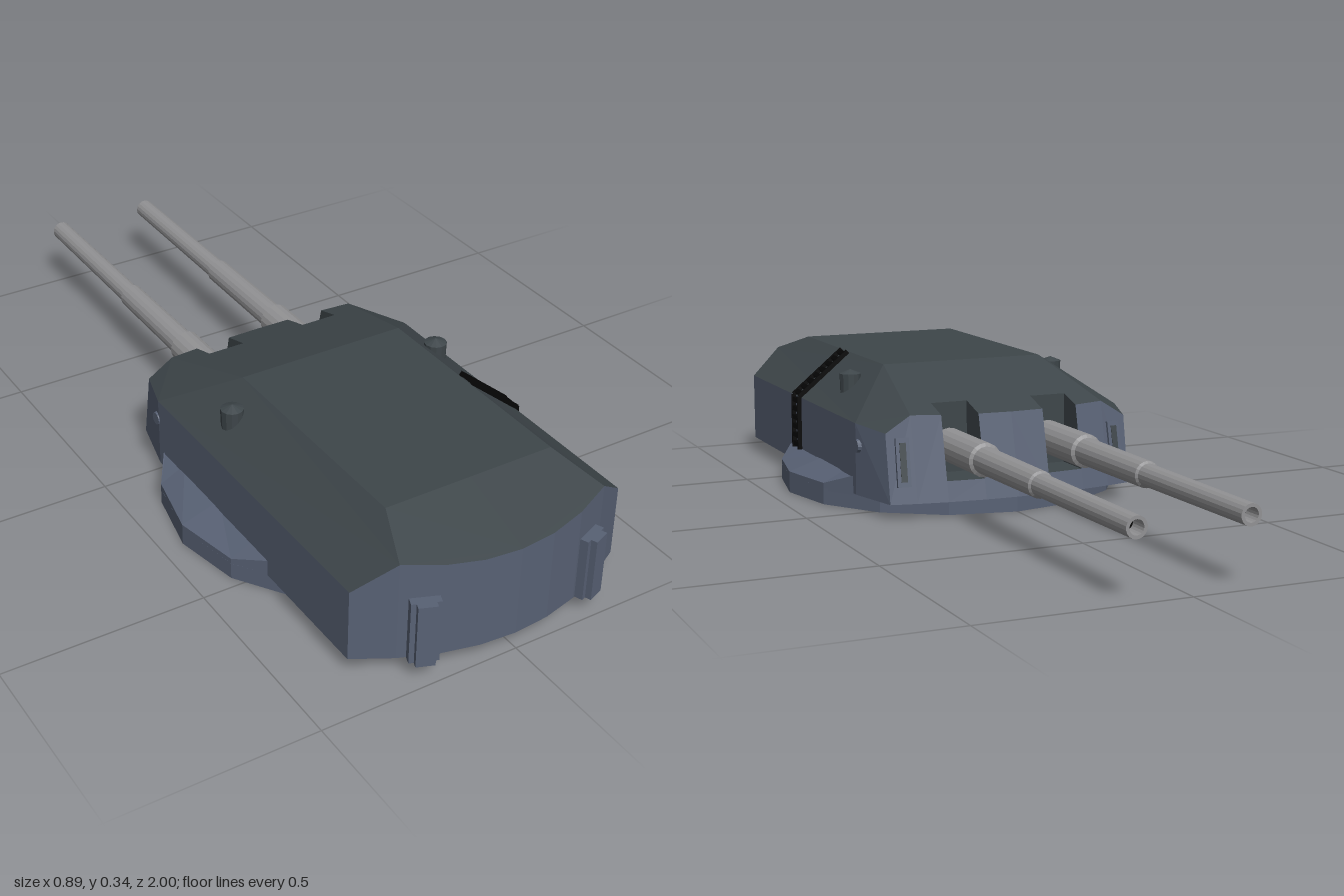
import * as THREE from 'three';

const paint = (name, color) => new THREE.MeshStandardMaterial({ name, color, flatShading: true });

// Mesh from flat polygons, each turned away from (or towards) a centre, then mirrored in x
function shell(name, material, polys, centre = [0, 0.15, 0.4], inward = false) {
  const pos = [];
  const c = new THREE.Vector3(...centre);
  for (const poly of polys) {
    let p = poly.map(a => new THREE.Vector3(...a));
    const n = new THREE.Vector3(), mid = new THREE.Vector3();
    p.forEach((v, i) => {
      n.add(new THREE.Vector3().crossVectors(v, p[(i + 1) % p.length]));
      mid.addScaledVector(v, 1 / p.length);
    });
    if ((n.dot(mid.sub(c)) < 0) !== inward) p.reverse();
    for (let i = 1; i < p.length - 1; i++) {
      const t = [p[0], p[i], p[i + 1]];
      for (const v of t) pos.push(v.x, v.y, v.z);
      for (const v of [t[0], t[2], t[1]]) pos.push(-v.x, v.y, v.z);
    }
  }
  const g = new THREE.BufferGeometry();
  g.setAttribute('position', new THREE.Float32BufferAttribute(pos, 3));
  g.computeVertexNormals();
  const m = new THREE.Mesh(g, material);
  m.name = name;
  return m;
}

export function createModel() {
  const root = new THREE.Group();
  root.name = 'gunTurret';
  const slate = paint('slate wall', 0x586174);
  const roof = paint('dark roof', 0x3e464a);
  const steel = paint('gun steel', 0x929294);
  const black = paint('black', 0x050505);

  const add = (name, geo, mat, x, y, z, parent = root) => {
    const m = new THREE.Mesh(geo, mat);
    m.name = name;
    m.position.set(x, y, z);
    parent.add(m);
    return m;
  };

  // Hull outline rules
  const Y0 = 0.04, YS = 0.22, YT = 0.335, W = 0.36, R = 0.22;
  const rearZ = x => 0.995 - 0.115 * (x / W) ** 2;
  const rearTop = x => [x, x > 0.3 ? YS : YT - 0.34 * (rearZ(x) - 0.8), rearZ(x)];
  const rearLow = x => [x, Y0, rearZ(x)];
  const slopeY = z => YT - 0.295 * (0.2 - z);
  const frontTop = x => {
    if (x > 0.3) return [x, 0.21, -0.085];
    const z = -0.105 + 0.02 * (x / 0.26) ** 2;
    return [x, slopeY(z), z];
  };
  const frontLow = x => [x, Y0, -0.155 + 0.04 * (x / 0.325) ** 2];
  const notchLow = x => {
    const a = frontLow(x), b = frontTop(x), t = 0.05 / (b[1] - a[1]);
    return a.map((v, i) => v + (b[i] - v) * t);
  };
  const rx = [0, 0.09, 0.18, 0.27, W];
  const fx = [0, 0.087, 0.183, 0.26, 0.325];
  const NZ = -0.03, n0 = fx[1], n1 = fx[2];

  // Walls: rear, sides, cheeks and front with gun notches
  const walls = [
    [[W, Y0, 0.03], [W, YS, 0.03], [W, YS, 0.88], [W, Y0, 0.88]],
    [[W, Y0, 0.03], [W, YS, 0.03], frontTop(0.325), frontLow(0.325)],
  ];
  for (let i = 0; i < 4; i++) {
    walls.push([rearLow(rx[i]), rearLow(rx[i + 1]), rearTop(rx[i + 1]), rearTop(rx[i])]);
    const top = i === 1 ? notchLow : frontTop;
    walls.push([frontLow(fx[i]), frontLow(fx[i + 1]), top(fx[i + 1]), top(fx[i])]);
  }
  root.add(shell('hullWalls', slate, walls));

  // Roof: flat top, rear slope, side bevels and notched front slope
  root.add(shell('roofPlates', roof, [
    [[0, YT, 0.2], [R, YT, 0.2], [R, YT, 0.8], [0, YT, 0.8]],
    [[0, YT, 0.8], [R, YT, 0.8], rearTop(0.27), rearTop(0.18), rearTop(0.09), rearTop(0)],
    [[R, YT, 0.8], [R, YT, 0.2], [W, YS, 0.03], [W, YS, 0.88], rearTop(0.27)],
    [[R, YT, 0.2], frontTop(0.26), frontTop(0.325), [W, YS, 0.03]],
    [[0, YT, 0.2], [n0, YT, 0.2], frontTop(n0), frontTop(0)],
    [[n0, YT, 0.2], [n1, YT, 0.2], [n1, slopeY(NZ), NZ], [n0, slopeY(NZ), NZ]],
    [[n1, YT, 0.2], [R, YT, 0.2], frontTop(0.26), frontTop(n1)],
  ]));
  root.add(shell('hullUnderside', roof, [
    [[0, Y0, 0.4], ...fx.map(frontLow), [W, Y0, 0.03], ...rx.slice().reverse().map(rearLow)],
  ]));

  // Recesses behind the gun notches
  const side = x => [frontTop(x), notchLow(x), [x, 0.09, NZ], [x, slopeY(NZ), NZ]];
  root.add(shell('gunRecesses', roof, [
    side(n0), side(n1),
    [[n0, 0.09, NZ], [n1, 0.09, NZ], [n1, slopeY(NZ), NZ], [n0, slopeY(NZ), NZ]],
    [notchLow(n0), notchLow(n1), [n1, 0.09, NZ], [n0, 0.09, NZ]],
  ], [0.135, 0.16, -0.07], true));

  // Base ring with a black underside
  add('baseRing', new THREE.CylinderGeometry(0.445, 0.445, 0.042, 16), [slate, slate, black], 0, 0.021, 0.3);

  // Sloping shoulders at the sides of the base
  const rim = [[0.36, 0.08, 0.547], [0.411, 0.055, 0.47], [0.445, 0.055, 0.3],
    [0.411, 0.055, 0.13], [0.35, 0.09, 0.035]];
  const shoulders = [];
  for (let i = 0; i < 4; i++) {
    const a = rim[i], b = rim[i + 1];
    shoulders.push([a, b, [0.345, 0.088, b[2]], [0.345, 0.088, a[2]]]);
    shoulders.push([a, b, [b[0], 0.035, b[2]], [a[0], 0.035, a[2]]]);
  }
  root.add(shell('baseShoulders', slate, shoulders, [0, 0, 0.3]));

  // Stepped barrel profile with an open bore
  const barrel = new THREE.LatheGeometry([
    [0.042, 0], [0.042, 0.25], [0.034, 0.255], [0.032, 0.555], [0.027, 0.56],
    [0.025, 1], [0.017, 1], [0.017, 0.95],
  ].map(p => new THREE.Vector2(...p)), 18).rotateX(-Math.PI / 2);
  const bore = new THREE.CircleGeometry(0.0175, 18).rotateY(Math.PI);

  for (const s of [-1, 1]) {
    add('gunBarrel', barrel, steel, s * 0.135, 0.16, 0);
    add('boreEnd', bore, black, s * 0.135, 0.16, -0.952);

    // Periscope with a shallow conical cap
    add('periscope', new THREE.CylinderGeometry(0.028, 0.026, 0.065, 12), roof, s * 0.287, 0.275, 0.265);
    add('periscopeCap', new THREE.ConeGeometry(0.028, 0.011, 12), roof, s * 0.287, 0.313, 0.265);

    // Cheek port
    const port = add('cheekPort', new THREE.CylinderGeometry(0.016, 0.018, 0.012, 12), slate, s * 0.357, 0.165, 0.02);
    port.rotation.z = -s * Math.PI / 2;

    // Framed slit on the front face
    const slit = new THREE.Group();
    slit.name = 'frontSlit';
    slit.position.set(s * 0.288, 0.14, -0.106);
    slit.lookAt(s * 0.388, 0.34, -1.106);
    add('slitFrame', new THREE.BoxGeometry(0.034, 0.12, 0.01), slate, 0, 0, 0, slit);
    add('slitPanel', new THREE.BoxGeometry(0.016, 0.096, 0.005), roof, 0, 0, 0.004, slit);
    root.add(slit);

    // Rear lug: raised block between two low flanges
    const lug = new THREE.Group();
    lug.name = 'rearLug';
    lug.position.set(s * 0.218, 0.12, 0.952);
    lug.rotation.y = s * 0.37;
    add('lugBlock', new THREE.BoxGeometry(0.044, 0.16, 0.06), slate, 0, 0, 0.005, lug);
    for (const e of [-1, 1])
      add('lugFlange', new THREE.BoxGeometry(0.012, 0.16, 0.036), slate, e * 0.028, 0, 0.002, lug);
    root.add(lug);
  }

  // Ladder on the left: one run up the wall, one up the bevel
  const ladder = new THREE.Group();
  ladder.name = 'ladder';
  const run = (x0, y0, x1, y1, count) => {
    const part = new THREE.Group();
    const len = Math.hypot(x1 - x0, y1 - y0);
    part.name = 'ladderRun';
    part.position.set(x0, y0, 0.475);
    part.rotation.z = Math.atan2(x0 - x1, y1 - y0);
    for (const e of [-1, 1])
      add('rail', new THREE.BoxGeometry(0.012, len, 0.006), black, 0, len / 2, e * 0.023, part);
    for (let i = 0; i < count; i++)
      add('rung', new THREE.BoxGeometry(0.01, 0.012, 0.044), black, 0, len * (i + 0.5) / count, 0, part);
    ladder.add(part);
  };
  run(0.365, 0.08, 0.365, 0.223, 6);
  run(0.365, 0.223, 0.227, 0.337, 8);
  root.add(ladder);

  return root;
}
